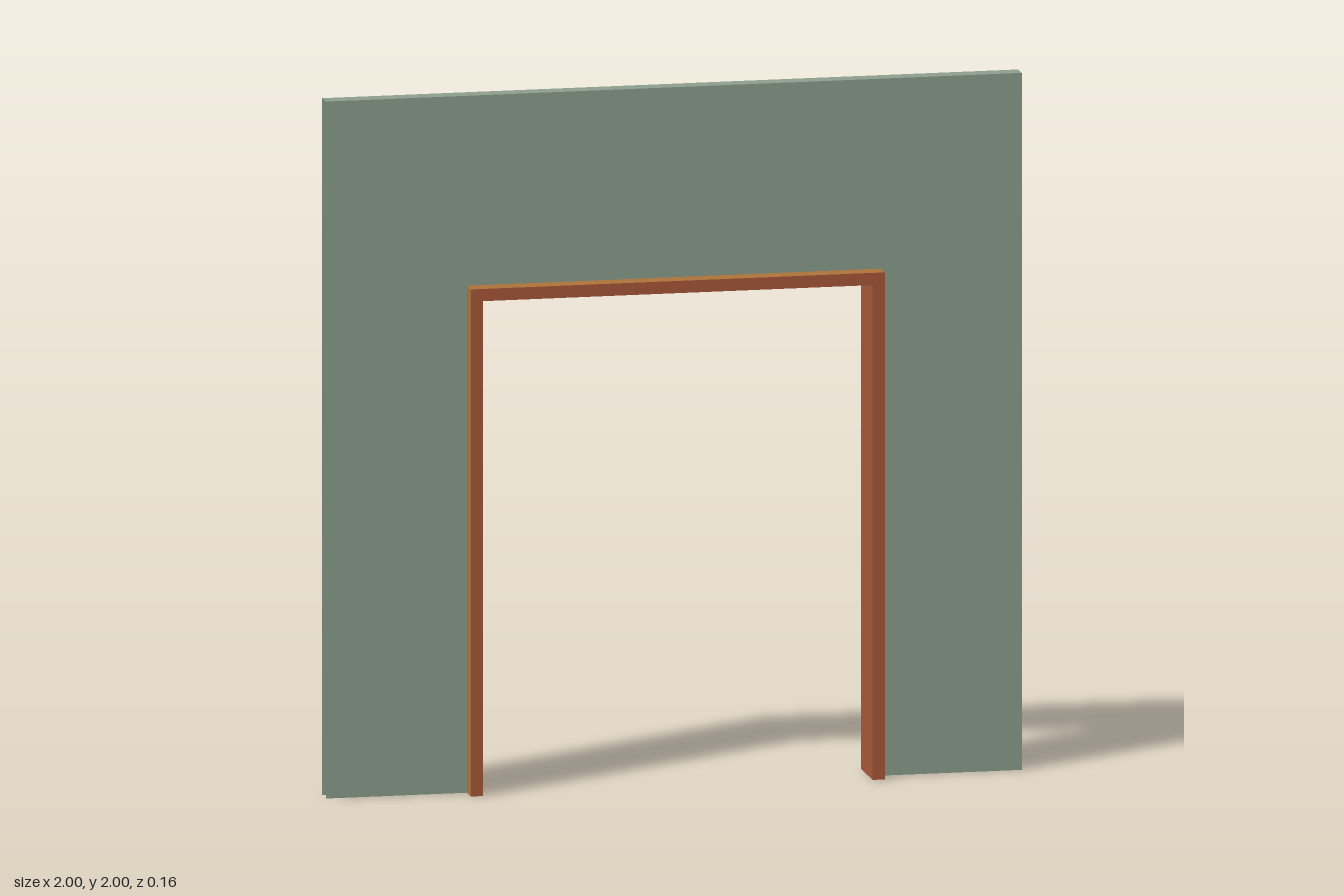
import * as THREE from 'three';

export function createModel() {
  const model = new THREE.Group();
  const wallGreen = new THREE.MeshStandardMaterial({ color: 0x8fa191, side: THREE.DoubleSide });
  const redWood = new THREE.MeshStandardMaterial({ color: 0xab5a3a, side: THREE.DoubleSide });
  const amberWood = new THREE.MeshStandardMaterial({ color: 0xb0743a, side: THREE.DoubleSide });
  wallGreen.name = 'wallGreen';
  redWood.name = 'redWood';
  amberWood.name = 'amberWood';

  const wallZ = 0.025, trimZ = 0.08;           // half depths of wall and trim
  const outX = 0.595, inX = 0.56;              // half widths of the frame
  const outY = 1.455, inY = 1.42;              // heights of the frame

  const add = (name, geometry, material) => {
    const mesh = new THREE.Mesh(geometry, material);
    mesh.name = name;
    model.add(mesh);
    return mesh;
  };
  // Box between two corners; face materials run +x, -x, +y, -y, +z, -z
  const box = (name, x0, x1, y0, y1, z0, z1, materials) =>
    add(name, new THREE.BoxGeometry(x1 - x0, y1 - y0, z1 - z0), materials)
      .position.set((x0 + x1) / 2, (y0 + y1) / 2, (z0 + z1) / 2);

  // Hollow wall: two skins and a top, open at the ends and the bottom
  const outline = new THREE.Shape([
    [-1, 0], [-outX, 0], [-outX, outY], [outX, outY], [outX, 0], [1, 0], [1, 2], [-1, 2],
  ].map(([x, y]) => new THREE.Vector2(x, y)));
  add('wallFront', new THREE.ShapeGeometry(outline), wallGreen).position.z = wallZ;
  const back = add('wallBack', new THREE.ShapeGeometry(outline), wallGreen);
  back.position.z = -wallZ;
  back.rotation.y = Math.PI;
  const top = add('wallTop', new THREE.PlaneGeometry(2, 2 * wallZ), wallGreen);
  top.rotation.x = -Math.PI / 2;
  top.position.y = 2;

  // Door casing on both faces of the wall
  const r = redWood, a = amberWood;
  for (const side of [1, -1]) {
    const face = side > 0 ? 'front' : 'back';
    const z0 = side > 0 ? wallZ : -trimZ;
    const z1 = side > 0 ? trimZ : -wallZ;
    const plusEnd = side > 0 ? r : a;
    const minusEnd = side > 0 ? a : r;
    box(face + 'Head', -outX, outX, inY, outY, z0, z1, [plusEnd, minusEnd, a, a, r, r]);
    box(face + 'LeftJamb', inX, outX, 0, inY, z0, z1, [plusEnd, r, r, r, r, r]);
    // The rear right jamb has an amber lower length
    const split = side > 0 ? 0 : 0.41;
    if (split) box(face + 'RightJambFoot', -outX, -inX, 0, split, z0, z1, [r, minusEnd, r, r, r, a]);
    box(face + 'RightJamb', -outX, -inX, split, inY, z0, z1, [r, minusEnd, r, r, r, r]);
  }

  // Thin lining through the wall between the casings
  for (const side of [1, -1]) {
    const lining = add(side > 0 ? 'leftLining' : 'rightLining', new THREE.PlaneGeometry(2 * wallZ, inY), redWood);
    lining.rotation.y = -side * Math.PI / 2;
    lining.position.set(side * inX, inY / 2, 0);
  }
  const headLining = add('headLining', new THREE.PlaneGeometry(2 * inX, 2 * wallZ), amberWood);
  headLining.rotation.x = Math.PI / 2;
  headLining.position.y = inY;

  // Worn red patch on top of the rear head
  const patch = new THREE.Shape([
    [-outX, 0.025], [-0.25, 0.025], [-0.27, 0.035], [-0.4, 0.048], [-0.45, 0.072], [-0.5, 0.07], [-outX, 0.08],
  ].map(([x, y]) => new THREE.Vector2(x, y)));
  const patchMesh = add('headPatch', new THREE.ShapeGeometry(patch), redWood);
  patchMesh.rotation.x = -Math.PI / 2;
  patchMesh.position.y = outY + 0.001;

  return model;
}
